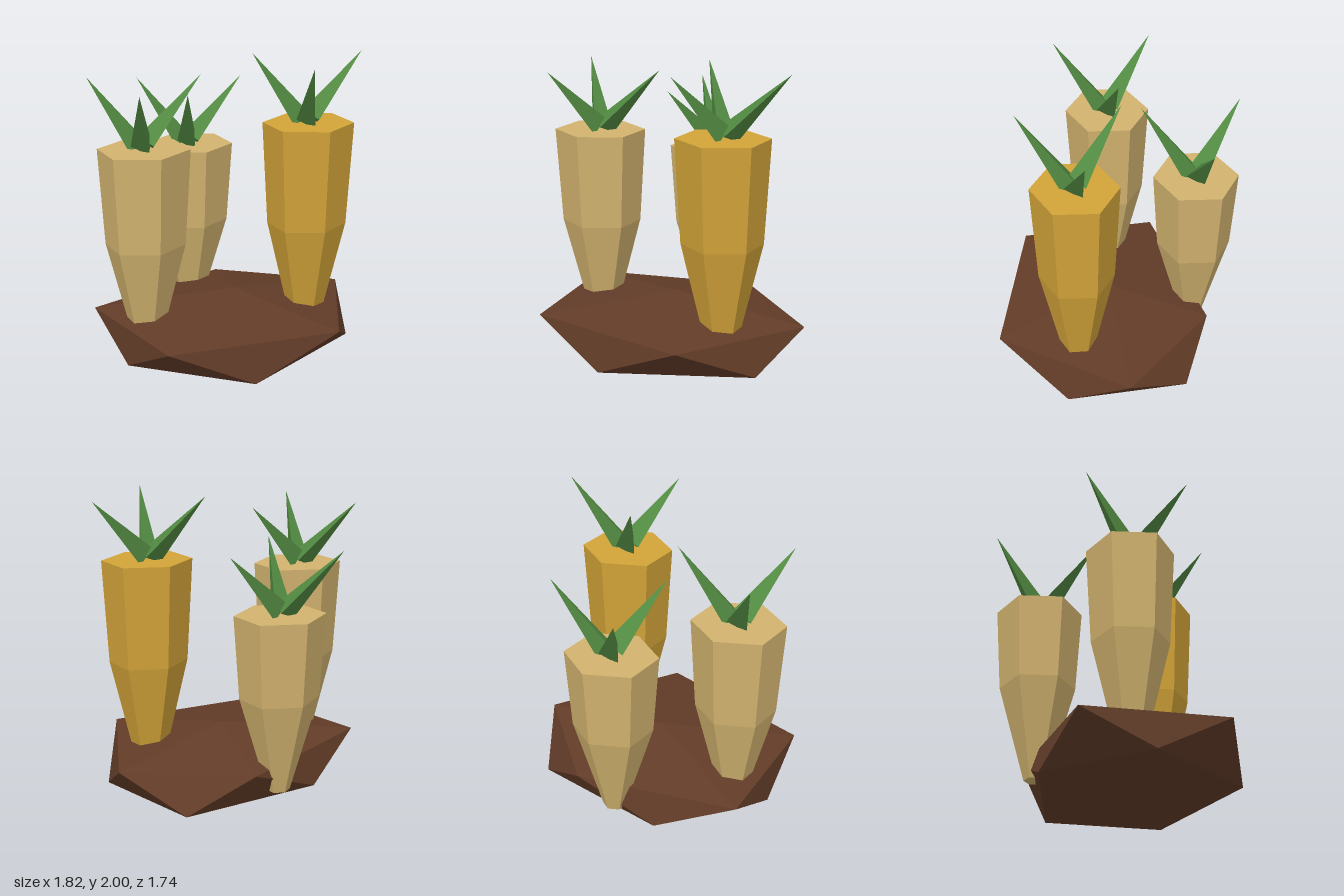
import * as THREE from 'three';

const flat = (geometry) => {
  const g = geometry.index ? geometry.toNonIndexed() : geometry;
  g.computeVertexNormals();
  return g;
};

const material = (name, color) => {
  const m = new THREE.MeshStandardMaterial({ color });
  m.name = name;
  return m;
};

const part = (name, geometry, mat) => {
  const mesh = new THREE.Mesh(flat(geometry), mat);
  mesh.name = name;
  return mesh;
};

// Lumpy mound: two staggered five-point rings between a peak and a base point
function moundGeometry() {
  const peak = [0, 0.39, 0.07], base = [0, 0, 0.07];
  const upper = [[0.91, 0.25, 0.07], [0.3, 0.27, 0.87], [-0.82, 0.265, 0.55], [-0.82, 0.265, -0.41], [0.3, 0.25, -0.59]];
  const lower = [[0.7, 0.01, 0.46], [-0.29, 0.01, 0.76], [-0.84, 0.02, 0.07], [-0.28, 0.02, -0.56], [0.7, 0.01, -0.36]];
  const points = [];
  for (let i = 0; i < 5; i++) {
    const j = (i + 1) % 5;
    points.push(peak, upper[j], upper[i]);
    points.push(upper[i], upper[j], lower[i]);
    points.push(lower[i], upper[j], lower[j]);
    points.push(base, lower[i], lower[j]);
  }
  const g = new THREE.BufferGeometry();
  g.setAttribute('position', new THREE.Float32BufferAttribute(points.flat(), 3));
  return g;
}

// Six-sided tapering root, slightly narrower in depth
function rootGeometry(top, shoulder, tip) {
  const profile = [[0, tip], [0.08, tip], [0.274, shoulder], [0.314, top], [0, top]]
    .map(([r, y]) => new THREE.Vector2(r, y));
  return new THREE.LatheGeometry(profile, 6, THREE.MathUtils.degToRad(-7.5)).scale(1, 1, 0.916);
}

// Three-sided spike leaning outward
function leafGeometry(turn) {
  const length = 0.58;
  return new THREE.ConeGeometry(0.085, length, 3)
    .translate(0, length / 2, 0)
    .rotateZ(-Math.PI / 4)
    .translate(0.033, 0.028, 0)
    .rotateY(turn)
    .scale(1, 1, 0.88);
}

export function createModel() {
  const soil = material('soil brown', 0x623c28);
  const tan = material('pale tan', 0xd2b36f);
  const gold = material('golden yellow', 0xd2a338);
  const green = material('leaf green', 0x528a42);

  const model = new THREE.Group();
  model.name = 'rootVegetablePatch';
  model.add(part('soilMound', moundGeometry(), soil));

  const plants = [
    { name: 'leftPlant', x: -0.62, z: -0.045, top: 1.45, shoulder: 0.8, tip: 0.05, skin: tan },
    { name: 'backPlant', x: 0.04, z: -0.535, top: 1.28, shoulder: 0.72, tip: 0.075, skin: tan },
    { name: 'frontPlant', x: 0.42, z: 0.343, top: 1.56, shoulder: 0.86, tip: 0.05, skin: gold },
  ];
  for (const p of plants) {
    const plant = new THREE.Group();
    plant.name = p.name;
    plant.position.set(p.x, 0, p.z);
    plant.add(part('root', rootGeometry(p.top, p.shoulder, p.tip), p.skin));
    for (let i = 0; i < 3; i++) {
      const leaf = part('leaf', leafGeometry((i * Math.PI * 2) / 3), green);
      leaf.position.y = p.top;
      plant.add(leaf);
    }
    model.add(plant);
  }
  return model;
}
